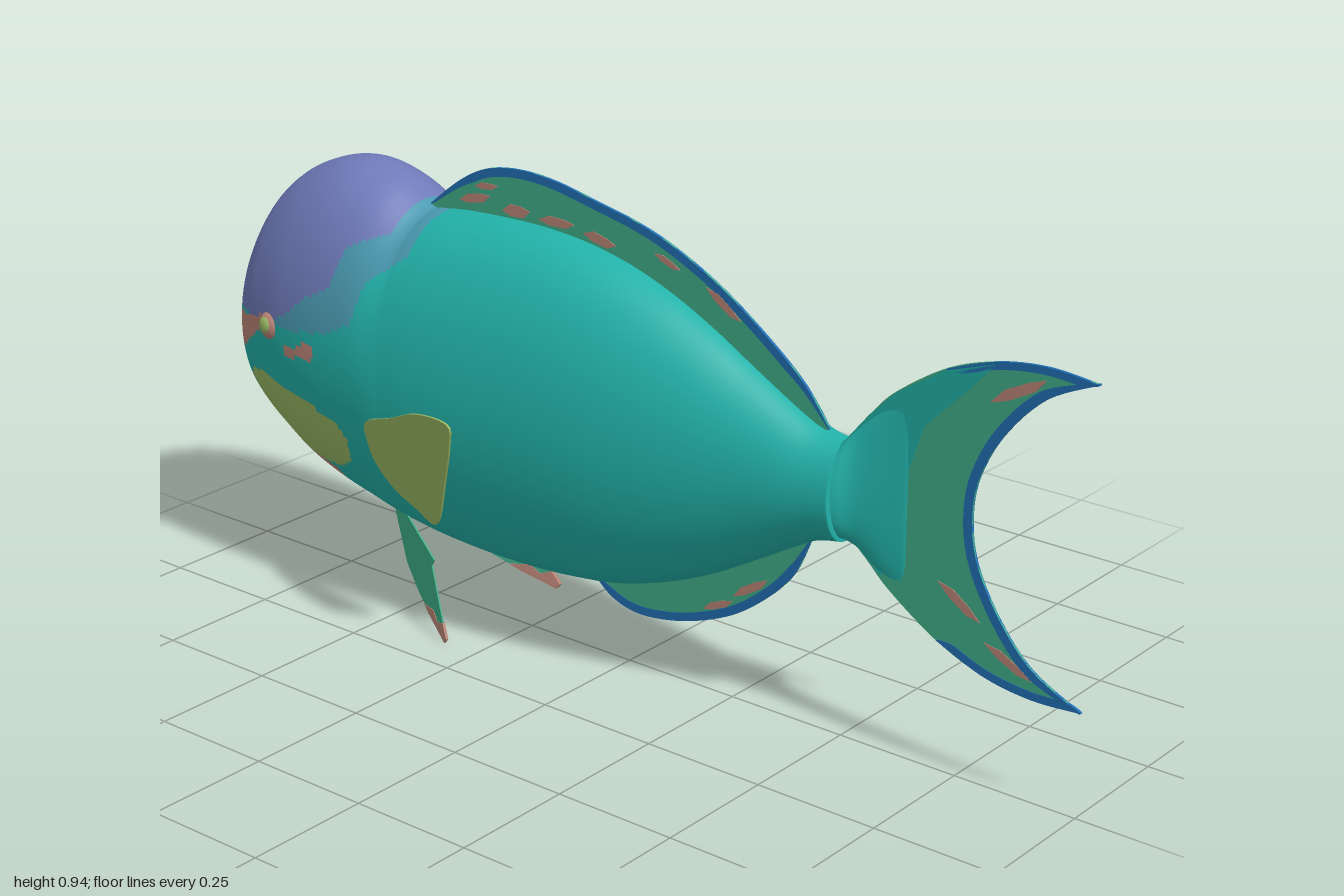
import * as THREE from 'three';

const paint = (name, color) => Object.assign(new THREE.MeshStandardMaterial({ color }), { name });
const teal = paint('teal', 0x22b2a9);
const purple = paint('purple', 0x6f7ab9);
const blend = paint('blueTeal', 0x4a99b0);
const olive = paint('olive', 0x9bb965);
const pink = paint('pink', 0xbb8578);
const green = paint('finGreen', 0x3fae89);
const blue = paint('rimBlue', 0x2270b4);

const v2 = (pts) => pts.map(([x, y]) => new THREE.Vector2(x, y));
const spline = (pts, n = 48) => new THREE.SplineCurve(v2(pts)).getPoints(n);

function inside(poly, x, y) {
  let hit = false;
  for (let i = 0, j = poly.length - 1; i < poly.length; j = i++) {
    const [ax, ay] = poly[i], [bx, by] = poly[j];
    if ((ay > y) !== (by > y) && x < ((bx - ax) * (y - ay)) / (by - ay) + ax) hit = !hit;
  }
  return hit;
}

// Elliptical loft along x; stations are [x, top, bottom, halfWidth], pick(x, y) gives a material index
function loft(name, stations, nu, nv, mats, pick) {
  const curves = [1, 2, 3].map((k) => new THREE.SplineCurve(v2(stations.map((s) => [s[0], s[k]]))));
  const pos = [];
  const faces = mats.map(() => []);
  for (let i = -1; i <= nu + 1; i++) {
    const t = Math.min(1, Math.max(0, i / nu));
    const [top, bot, wide] = curves.map((c) => c.getPoint(t));
    const scale = i < 0 || i > nu ? 0 : 1; // end rings collapse into caps
    for (let j = 0; j < nv; j++) {
      const a = (j / nv) * Math.PI * 2;
      pos.push(top.x, (top.y + bot.y) / 2 + scale * Math.cos(a) * (top.y - bot.y) / 2,
        scale * Math.sin(a) * wide.y);
    }
  }
  for (let i = 0; i < nu + 2; i++) {
    for (let j = 0; j < nv; j++) {
      const a = i * nv + j, b = i * nv + ((j + 1) % nv), c = a + nv, d = b + nv;
      const x = (pos[a * 3] + pos[d * 3]) / 2, y = (pos[a * 3 + 1] + pos[d * 3 + 1]) / 2;
      faces[pick(x, y)].push(a, b, c, b, d, c);
    }
  }
  const g = new THREE.BufferGeometry();
  g.setAttribute('position', new THREE.Float32BufferAttribute(pos, 3));
  g.setIndex(faces.flat());
  let start = 0;
  faces.forEach((f, k) => { g.addGroup(start, f.length, k); start += f.length; });
  g.computeVertexNormals();
  const mesh = new THREE.Mesh(g, mats);
  mesh.name = name;
  return mesh;
}

// Thin plate in the xy plane, optionally slanted by z = f(x, y)
function plate(name, pts, mat, depth = 0.004, slant = null) {
  const g = new THREE.ExtrudeGeometry(new THREE.Shape(pts), { depth, bevelEnabled: false });
  g.translate(0, 0, -depth / 2);
  if (slant) {
    const p = g.attributes.position;
    for (let i = 0; i < p.count; i++) p.setZ(i, p.getZ(i) + slant(p.getX(i), p.getY(i)));
    g.computeVertexNormals();
  }
  const mesh = new THREE.Mesh(g, mat);
  mesh.name = name;
  return mesh;
}

// Coloured rim along a curve, widening to one side and tapering at both ends
function rim(name, pts, width) {
  const outer = spline(pts), n = outer.length - 1;
  const inner = outer.map((p, i) => {
    const d = outer[Math.min(n, i + 1)].clone().sub(outer[Math.max(0, i - 1)]).normalize();
    const w = width * Math.min(1, 0.1 + 7 * Math.min(i, n - i) / n);
    return new THREE.Vector2(p.x + d.y * w, p.y - d.x * w);
  });
  return plate(name, [...outer, ...inner.reverse()], blue, 0.006);
}

// Slender diamond-like fleck between two points
function fleck([x1, y1, x2, y2, w]) {
  const l = Math.hypot(x2 - x1, y2 - y1), nx = -(y2 - y1) / l * w, ny = (x2 - x1) / l * w;
  const at = (t, s) => [x1 + (x2 - x1) * t + nx * s, y1 + (y2 - y1) * t + ny * s];
  return plate('finFleck', v2([at(0, 0), at(0.3, -0.8), at(0.75, -1), at(1, 0), at(0.7, 0.7), at(0.3, 1)]), pink, 0.007);
}

// Face markings, as outlines in side view
const crown = [[-1.1, 0.565], [-0.86, 0.575], [-0.78, 0.57], [-0.72, 0.6], [-0.66, 0.65], [-0.6, 0.68],
  [-0.58, 0.76], [-0.51, 0.79], [-0.49, 1], [-1.1, 1]];
const crownEdge = [[-0.8, 0.57], [-0.7, 0.575], [-0.6, 0.59], [-0.54, 0.62], [-0.52, 0.7], [-0.45, 0.76],
  [-0.43, 1], [-0.8, 1]];
const cheek = [[-0.89, 0.42], [-0.86, 0.45], [-0.8, 0.46], [-0.7, 0.435], [-0.6, 0.41], [-0.57, 0.37],
  [-0.58, 0.32], [-0.63, 0.29], [-0.7, 0.285], [-0.78, 0.305], [-0.85, 0.35]];
const chin = [[-0.92, 0.39], [-0.87, 0.36], [-0.78, 0.3], [-0.66, 0.28], [-0.65, 0.22], [-0.63, 0.1], [-0.92, 0.1]];
const streaks = [
  [[-0.99, 0.5], [-0.96, 0.57], [-0.86, 0.565], [-0.79, 0.585], [-0.79, 0.56], [-0.83, 0.53], [-0.89, 0.485], [-0.94, 0.505]],
  [[-0.74, 0.53], [-0.68, 0.545], [-0.65, 0.565], [-0.63, 0.545], [-0.64, 0.525], [-0.7, 0.52]],
];
function bodyColour(x, y) {
  if (x > -0.42) return 0;
  if (streaks.some((s) => inside(s, x, y))) return 4;
  if (inside(crown, x, y)) return 1;
  if (inside(crownEdge, x, y)) return 2;
  if (inside(cheek, x, y)) return 3;
  if (inside(chin, x, y)) return 4;
  return x < -0.89 && y < 0.425 ? 2 : 0;
}

export function createModel() {
  const fish = new THREE.Group();
  fish.name = 'fish';

  // Body with domed head
  fish.add(loft('body', [
    [-1, 0.495, 0.415, 0.006], [-0.97, 0.54, 0.375, 0.045], [-0.94, 0.605, 0.35, 0.088], [-0.925, 0.68, 0.34, 0.108],
    [-0.9, 0.735, 0.325, 0.135], [-0.85, 0.805, 0.295, 0.165], [-0.8, 0.847, 0.265, 0.181], [-0.75, 0.872, 0.237, 0.193],
    [-0.7, 0.888, 0.216, 0.198], [-0.65, 0.893, 0.2, 0.2], [-0.6, 0.885, 0.188, 0.2], [-0.55, 0.866, 0.176, 0.2],
    [-0.49, 0.826, 0.166, 0.2], [-0.46, 0.826, 0.161, 0.199], [-0.4, 0.833, 0.154, 0.198], [-0.3, 0.838, 0.148, 0.193],
    [-0.2, 0.838, 0.148, 0.185], [-0.1, 0.829, 0.155, 0.176], [0, 0.808, 0.17, 0.164], [0.1, 0.773, 0.2, 0.147],
    [0.2, 0.725, 0.242, 0.127], [0.3, 0.668, 0.297, 0.105], [0.4, 0.613, 0.355, 0.084], [0.45, 0.592, 0.38, 0.073],
    [0.5, 0.585, 0.39, 0.063],
  ], 230, 180, [teal, purple, blend, olive, pink], bodyColour));

  // Tail root, thinning into the tail fin
  fish.add(loft('tailRoot', [[0.49, 0.58, 0.395, 0.058], [0.505, 0.595, 0.395, 0.05], [0.53, 0.62, 0.385, 0.03],
    [0.57, 0.655, 0.355, 0.017], [0.63, 0.69, 0.33, 0.003]], 20, 32, [teal], () => 0));

  // Tail fin
  const tailTop = [[0.5, 0.59], [0.55, 0.65], [0.6, 0.7], [0.7, 0.765], [0.8, 0.8], [0.9, 0.813], [1, 0.805]];
  const tailNotch = [[1, 0.805], [0.9, 0.755], [0.82, 0.67], [0.775, 0.58], [0.765, 0.5], [0.78, 0.42],
    [0.83, 0.33], [0.9, 0.255], [1, 0.205]];
  const tailLow = [[1, 0.205], [0.9, 0.2], [0.8, 0.215], [0.7, 0.255], [0.6, 0.32], [0.55, 0.365], [0.5, 0.41]];
  fish.add(plate('tailFin', [...spline(tailTop), ...spline(tailNotch).slice(1), ...spline(tailLow).slice(1)], green));
  fish.add(plate('tailFinBase', v2([[0.5, 0.41], [0.5, 0.59], [0.55, 0.648], [0.6, 0.698], [0.7, 0.762], [0.8, 0.796],
    [0.74, 0.73], [0.66, 0.65], [0.63, 0.56], [0.62, 0.45], [0.58, 0.345]]), teal, 0.006));
  fish.add(rim('tailRim', tailNotch, 0.018));
  fish.add(rim('tailTopRim', tailTop.slice(3), 0.014), rim('tailLowRim', tailLow.slice(0, 4), 0.016));

  // Dorsal fin
  const dorsal = [[-0.5, 0.825], [-0.42, 0.888], [-0.35, 0.924], [-0.27, 0.937], [-0.18, 0.932], [-0.08, 0.912],
    [0.02, 0.89], [0.1, 0.863], [0.2, 0.815], [0.3, 0.75], [0.4, 0.67], [0.46, 0.595]];
  fish.add(plate('dorsalFin', [...spline(dorsal), ...v2([[0.4, 0.56], [0.2, 0.67], [0, 0.75], [-0.3, 0.78]])], green));
  fish.add(rim('dorsalRim', dorsal, 0.017));

  // Anal fin
  const anal = [[0.425, 0.37], [0.39, 0.295], [0.33, 0.23], [0.25, 0.172], [0.15, 0.13], [0.06, 0.111],
    [0, 0.112], [-0.05, 0.13], [-0.09, 0.165]];
  fish.add(plate('analFin', [...spline(anal), ...v2([[0, 0.22], [0.2, 0.3], [0.4, 0.4]])], green));
  fish.add(rim('analRim', anal, 0.017));

  // Pink flecks on the unpaired fins
  [
    [-0.42, 0.85, -0.34, 0.872, 0.01], [-0.31, 0.85, -0.24, 0.86, 0.013], [-0.22, 0.85, -0.13, 0.856, 0.01],
    [-0.11, 0.845, -0.03, 0.835, 0.011], [-0.38, 0.885, -0.32, 0.895, 0.007], [0.06, 0.84, 0.12, 0.82, 0.007],
    [0.18, 0.8, 0.26, 0.752, 0.009], [0.18, 0.165, 0.25, 0.2, 0.008], [0.25, 0.21, 0.33, 0.265, 0.009],
    [0.79, 0.725, 0.9, 0.79, 0.011], [0.7, 0.37, 0.79, 0.315, 0.01], [0.8, 0.28, 0.9, 0.235, 0.009],
  ].forEach((f) => fish.add(fleck(f)));

  // Paired fins and eyes, built on the left and mirrored to the right
  for (const s of [1, -1]) {
    const side = s > 0 ? 'front' : 'back';
    const pectoral = spline([[-0.5, 0.42], [-0.48, 0.445], [-0.4, 0.475], [-0.3, 0.517], [-0.2, 0.527], [-0.205, 0.48],
      [-0.25, 0.38], [-0.29, 0.295], [-0.32, 0.268], [-0.37, 0.285], [-0.44, 0.31], [-0.49, 0.36], [-0.5, 0.42]]);
    fish.add(plate(side + 'PectoralFin', pectoral.slice(0, -1), olive, 0.005,
      (x, y) => s * (0.2 + 0.209 * (x + 0.5) + 0.231 * (y - 0.42))));

    const lean = (x, y) => s * (0.07 + 0.433 * (x + 0.54) - 0.042 * (y - 0.165));
    fish.add(plate(side + 'PelvicFin', v2([[-0.56, 0.2], [-0.54, 0.165], [-0.5, 0.1], [-0.45, 0.062], [-0.4, 0.035],
      [-0.33, 0.003], [-0.325, 0.012], [-0.35, 0.06], [-0.37, 0.1], [-0.39, 0.14], [-0.38, 0.155], [-0.5, 0.2]]),
    green, 0.004, lean));
    fish.add(plate(side + 'PelvicTip', v2([[-0.42, 0.046], [-0.4, 0.034], [-0.33, 0.002], [-0.322, 0.012], [-0.338, 0.04],
      [-0.36, 0.032], [-0.38, 0.05]]), pink, 0.007, lean));

    const eye = new THREE.Mesh(new THREE.SphereGeometry(0.03, 24, 16), pink);
    eye.name = side + 'Eye';
    eye.position.set(-0.765, 0.567, s * 0.18);
    eye.scale.z = 0.7;
    const iris = new THREE.Mesh(new THREE.SphereGeometry(0.02, 20, 12), olive);
    iris.name = side + 'Iris';
    iris.position.set(-0.768, 0.569, s * 0.19);
    iris.scale.z = 0.65;
    fish.add(eye, iris);
  }
  return fish;
}
